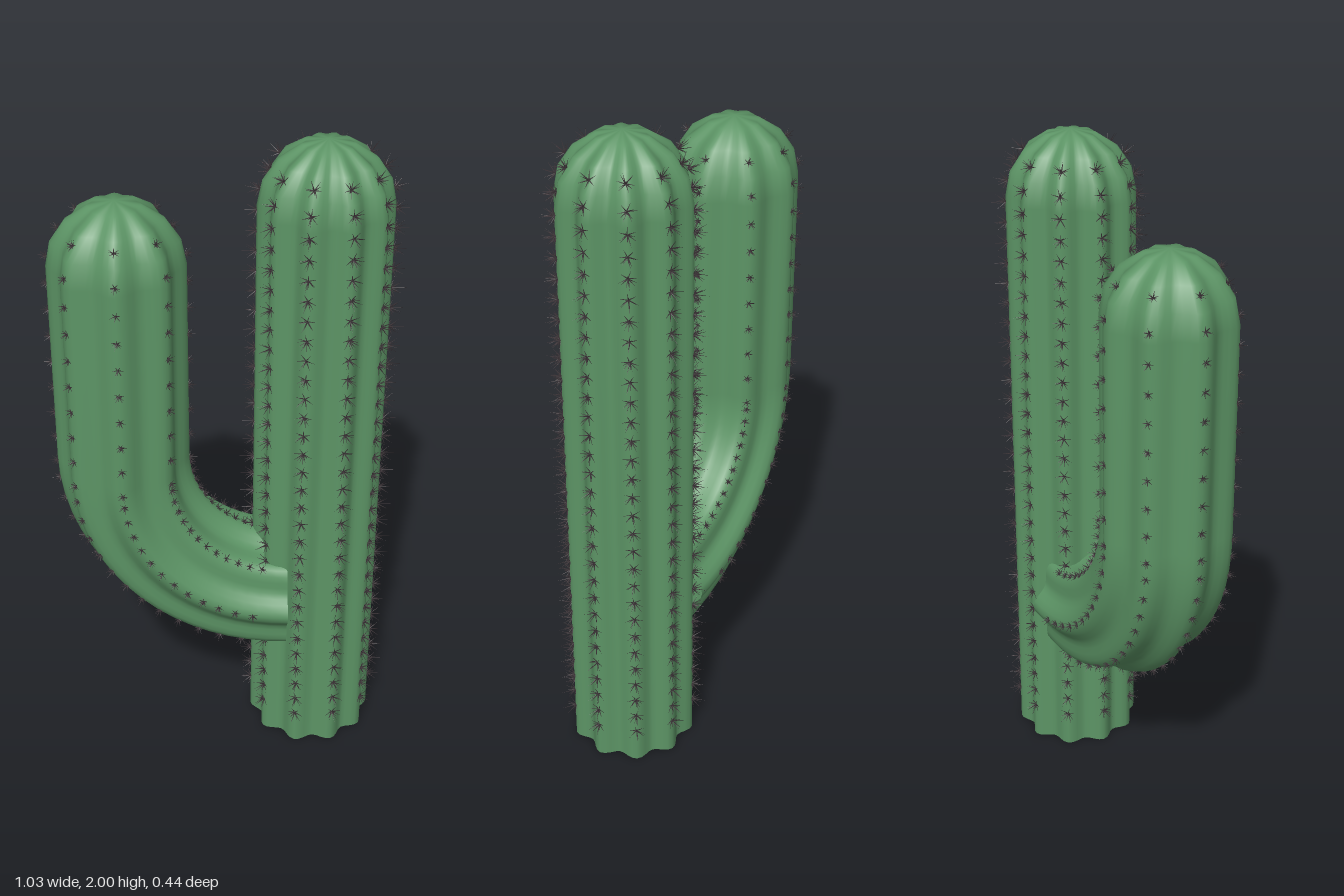
import * as THREE from 'three';
import { mergeGeometries, mergeVertices } from 'three/addons/utils/BufferGeometryUtils.js';

const Z = new THREE.Vector3(0, 0, 1);
const UP = new THREE.Vector3(0, 1, 0);
const green = new THREE.MeshStandardMaterial({ color: 0x5c9465 });
const dark = new THREE.MeshStandardMaterial({ color: 0x453c40, side: THREE.DoubleSide });

// A cross-section: centre p, in-plane axis u (the other axis is z), scale, and upward tilt of the skin
const upright = (x, y) => ({ p: new THREE.Vector3(x, y, 0), u: new THREE.Vector3(1, 0, 0), scale: 1, tilt: 0 });
function domed(x, base, height, phi) {
  return { ...upright(x, base + height * Math.sin(phi)), scale: Math.cos(phi), tilt: phi };
}
// Section on the quarter bend that leaves the trunk sideways and turns upward
const BEND = { x: 0.19, y: 1, r: 0.485 };
function bent(a) {
  const u = new THREE.Vector3(Math.sin(a), Math.cos(a), 0);
  const p = new THREE.Vector3(BEND.x, BEND.y, 0).addScaledVector(u, -BEND.r);
  return { p, u, scale: 1, tilt: 0 };
}

const radial = (f, t) => f.u.clone().multiplyScalar(Math.cos(t)).addScaledVector(Z, Math.sin(t));

// Ribbed skin swept through the sections, with a flat cap at the start
function ribbedBody(name, sections, ribs, radius, depth) {
  const n = ribs * 8, pos = [], idx = [];
  const ring = (f) => {
    for (let j = 0; j < n; j++) {
      const t = (j / n) * Math.PI * 2;
      const r = f.scale * (radius - depth * (1 - Math.cos(ribs * t)) / 2);
      pos.push(...f.p.clone().addScaledVector(radial(f, t), r).toArray());
    }
  };
  sections.forEach(ring);
  for (let i = 0; i < sections.length - 1; i++) {
    for (let j = 0; j < n; j++) {
      const k = (j + 1) % n, a = i * n, b = a + n;
      idx.push(a + j, b + j, a + k);
      if (i < sections.length - 2) idx.push(b + j, b + k, a + k);
    }
  }
  const build = (p, index) => {
    const g = new THREE.BufferGeometry();
    g.setAttribute('position', new THREE.Float32BufferAttribute(p, 3));
    g.setIndex(index);
    const m = mergeVertices(g, 1e-5);
    m.computeVertexNormals();
    return m;
  };
  const capPos = [...pos.slice(0, n * 3), ...sections[0].p.toArray()], capIdx = [];
  for (let j = 0; j < n; j++) capIdx.push(n, j, (j + 1) % n);
  const mesh = new THREE.Mesh(mergeGeometries([build(pos, idx), build(capPos, capIdx)]), green);
  mesh.name = name;
  return mesh;
}

// One burst of thin spines around +y
function spineBurst(length) {
  const spines = [];
  const add = (lean, turn, len) => {
    const g = new THREE.ConeGeometry(0.0022, len, 3, 1, true);
    g.translate(0, len / 2, 0).rotateZ(lean).rotateY(turn);
    spines.push(g);
  };
  add(0, 0, length);
  for (let i = 0; i < 4; i++) add(0.65, i * Math.PI / 2 + 0.4, length * 0.85);
  for (let i = 0; i < 6; i++) add(1.2, i * Math.PI / 3, length * 0.65);
  return mergeGeometries(spines);
}

// Bursts on every rib at each given section
function spineRows(name, sections, ribs, radius, length) {
  const burst = spineBurst(length), all = [];
  sections.forEach((f, i) => {
    for (let j = 0; j < ribs; j++) {
      const dir = radial(f, (j / ribs) * Math.PI * 2);
      const at = f.p.clone().addScaledVector(dir, f.scale * radius - 0.002);
      const out = dir.multiplyScalar(Math.cos(f.tilt)).addScaledVector(UP, Math.sin(f.tilt));
      const q = new THREE.Quaternion().setFromUnitVectors(UP, out);
      q.multiply(new THREE.Quaternion().setFromAxisAngle(UP, i * 1.7 + j * 2.3));
      all.push(burst.clone().applyMatrix4(new THREE.Matrix4().compose(at, q, new THREE.Vector3(1, 1, 1))));
    }
  });
  const mesh = new THREE.Mesh(mergeGeometries(all), dark);
  mesh.name = name;
  return mesh;
}

// Upright spine section at height y, following the dome above its base
function spineSection(x, y, base, height) {
  return y <= base ? upright(x, y) : domed(x, base, height, Math.asin((y - base) / height));
}

export function createModel() {
  const model = new THREE.Group();
  model.name = 'cactus';
  const domeSteps = [0, 1, 2, 3, 4].map((i) => (i / 4) * Math.PI / 2);

  // Trunk
  const tx = 0.28, tBase = 1.81, tDome = 0.19;
  const trunk = [upright(tx, 0), ...domeSteps.map((a) => domed(tx, tBase, tDome, a))];
  model.add(ribbedBody('trunk', trunk, 10, 0.19, 0.028));
  const trunkSpines = [];
  for (let i = 0; i < 30; i++) trunkSpines.push(spineSection(tx, 0.115 + i * 0.0622, tBase, tDome));
  model.add(spineRows('trunkSpines', trunkSpines, 10, 0.19, 0.045));

  // Side arm: quarter bend, then straight up to a dome
  const ax = BEND.x - BEND.r, aBase = 1.635, aDome = 0.195;
  const arm = [];
  for (let i = 0; i < 16; i++) arm.push(bent((i / 16) * Math.PI / 2));
  arm.push(upright(ax, BEND.y), ...domeSteps.map((a) => domed(ax, aBase, aDome, a)));
  model.add(ribbedBody('arm', arm, 8, 0.195, 0.028));
  const armSpines = [];
  for (let i = 2; i <= 13; i++) armSpines.push(bent((i / 14) * Math.PI / 2));
  for (let i = 0; i < 10; i++) armSpines.push(spineSection(ax, 0.985 + i * 0.085, aBase, aDome));
  model.add(spineRows('armSpines', armSpines, 8, 0.195, 0.028));

  return model;
}
